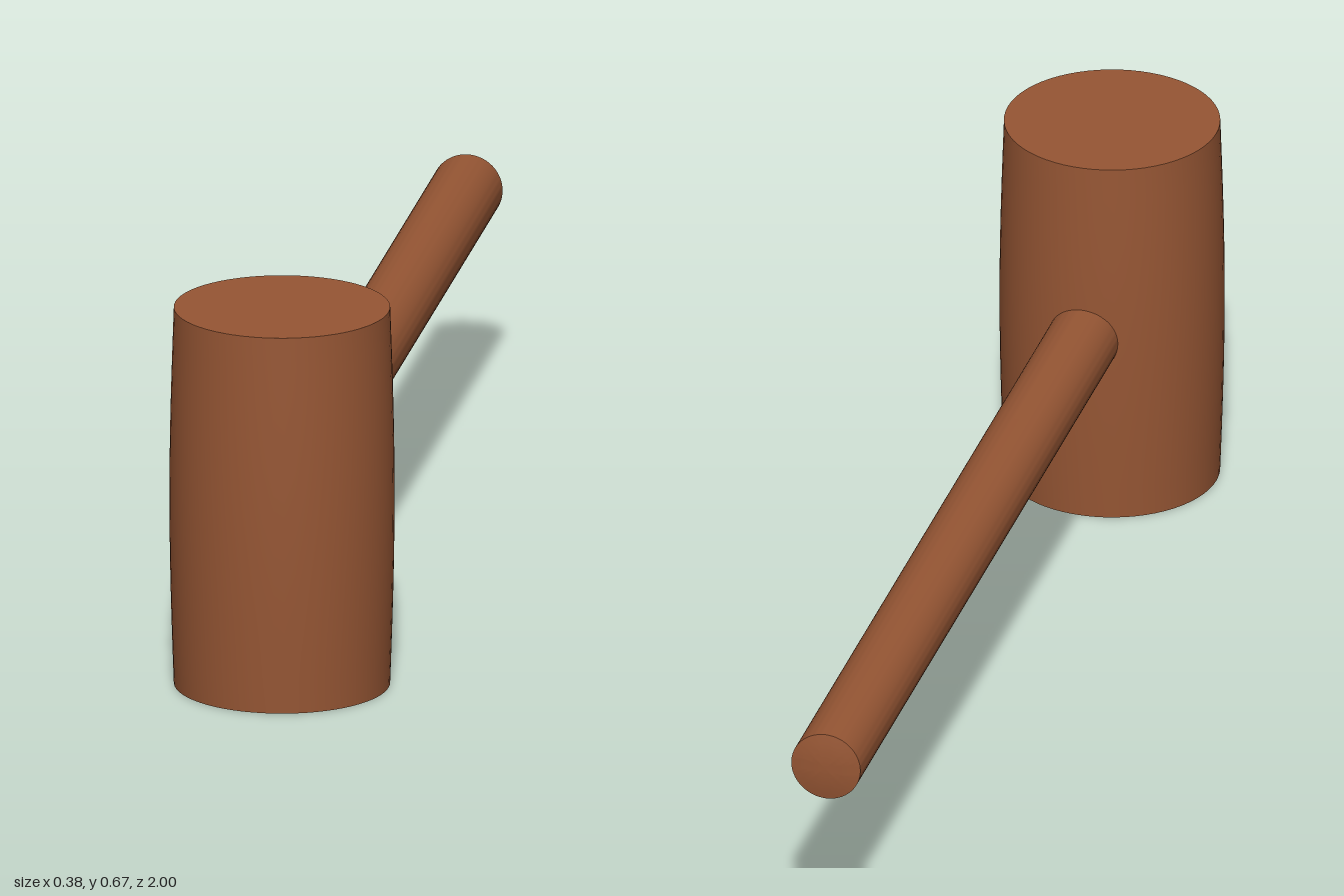
import * as THREE from 'three';
import { toCreasedNormals } from 'three/addons/utils/BufferGeometryUtils.js';

const wood = new THREE.MeshStandardMaterial({ color: 0x965634 });

// Turned wooden part: smooth around, sharp at the rims
function turned(name, points) {
  const profile = points.map(([r, y]) => new THREE.Vector2(r, y));
  const geometry = toCreasedNormals(new THREE.LatheGeometry(profile, 64), 0.2);
  const mesh = new THREE.Mesh(geometry, wood);
  mesh.name = name;
  return mesh;
}

export function createModel() {
  const group = new THREE.Group();
  group.name = 'mallet';

  // Barrel-shaped head with flat striking faces
  const height = 0.667, rings = 12;
  const barrel = [[0, 0]];
  for (let i = 0; i <= rings; i++) {
    const t = i / rings;
    barrel.push([0.184 + 0.0075 * Math.sin(Math.PI * t), height * t]);
  }
  barrel.push([0, height]);
  const head = turned('head', barrel);
  head.position.z = 0.8085;
  group.add(head);

  // Round handle, seated inside the head, with a slightly domed butt
  const r = 0.061;
  const rod = [[0, -0.8], [r, -0.8], [r, 0.993]];
  for (let i = 3; i >= 0; i--) {
    const k = i / 4;
    rod.push([r * k, 0.993 + 0.007 * (1 - k * k)]);
  }
  const handle = turned('handle', rod);
  handle.rotation.x = -Math.PI / 2;
  handle.position.y = 0.337;
  group.add(handle);

  return group;
}
